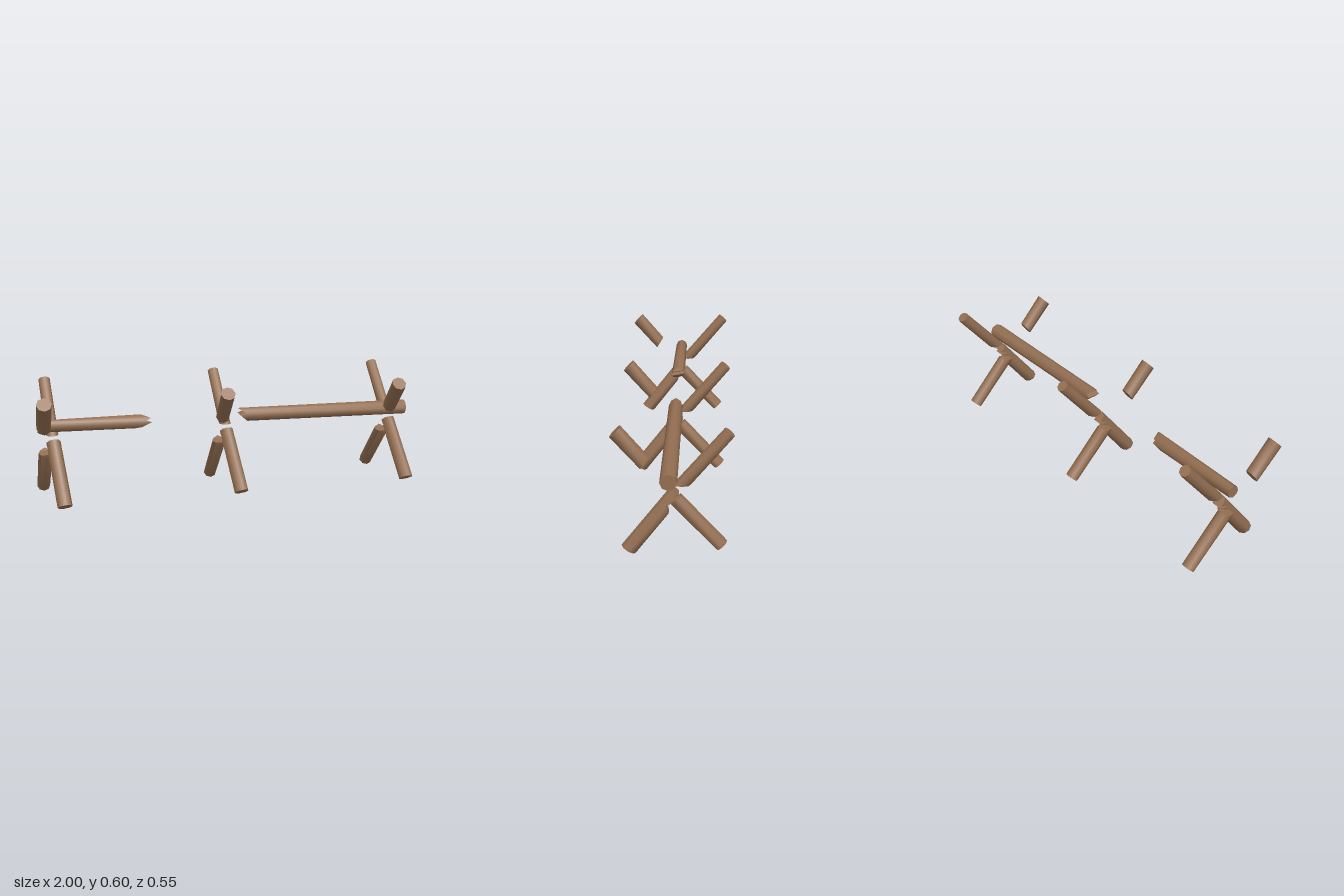
import * as THREE from 'three';
import { toCreasedNormals } from 'three/addons/utils/BufferGeometryUtils.js';

const wood = new THREE.MeshStandardMaterial({ color: 0x946f52 });
wood.name = 'brown wood';

// Octagonal section: half width at height u (both in units of the radius)
const K = Math.SQRT1_2;
const RINGS = [-1, -K, 0, K, 1];
const HALF = [0, K, 1, K, 0];
function halfWidth(u) {
  for (let i = 0; i < 4; i++) {
    if (u <= RINGS[i + 1]) {
      const f = (u - RINGS[i]) / (RINGS[i + 1] - RINGS[i]);
      return HALF[i] + (HALF[i + 1] - HALF[i]) * f;
    }
  }
  return 0;
}

// Keep the part of a polygon on one side of the line u = limit
function clip(poly, limit, sign) {
  const out = [];
  poly.forEach((p, i) => {
    const q = poly[(i + 1) % poly.length];
    const dp = (p.x - limit) * sign, dq = (q.x - limit) * sign;
    if (dp >= 0) out.push(p);
    if (dp * dq < 0) {
      const c = p.clone().lerp(q, dp / (dp - dq));
      c.x = limit;
      out.push(c);
    }
  });
  return out;
}

// A log from a to b. Each end is a broken profile of [u, offset along the axis]
// pairs: the start runs from u = -1 to 1, the finish from u = 1 to -1.
function log(name, a, b, r0, r1, start, finish, ref, slant = 0) {
  const A = new THREE.Vector3(...a);
  const T = new THREE.Vector3(...b).sub(A);
  const len = T.length();
  T.normalize();
  const U = new THREE.Vector3().crossVectors(T, ref).normalize();
  const V = new THREE.Vector3().crossVectors(U, T);
  const outline = [
    ...start.map(([u, t]) => new THREE.Vector2(u, t)),
    ...finish.map(([u, t]) => new THREE.Vector2(u, len + t)),
  ];

  const pos = [];
  const place = (p, side) => {
    const r = r0 + (r1 - r0) * p.y / len;
    const v = halfWidth(p.x) * side * r;
    const t = p.y - (p.y > len / 2 ? slant * (r - v) : 0);
    return A.clone().addScaledVector(T, t).addScaledVector(U, p.x * r).addScaledVector(V, v);
  };
  const tri = (p, q, s) => {
    const area = q.clone().sub(p).cross(s.clone().sub(p)).length();
    if (area > 1e-9) pos.push(...p.toArray(), ...q.toArray(), ...s.toArray());
  };

  // Bark: the outline lifted onto both halves of the octagon, facet by facet
  for (let i = 0; i < 4; i++) {
    const band = clip(clip(outline, RINGS[i], 1), RINGS[i + 1], -1);
    if (band.length < 3) continue;
    for (const face of THREE.ShapeUtils.triangulateShape(band, [])) {
      let [p, q, s] = face.map((k) => band[k]);
      if ((q.x - p.x) * (s.y - p.y) - (q.y - p.y) * (s.x - p.x) < 0) [q, s] = [s, q];
      tri(place(p, 1), place(q, 1), place(s, 1));
      tri(place(p, -1), place(s, -1), place(q, -1));
    }
  }

  // Ends: strips across the log, split where the octagon turns
  outline.forEach((p, i) => {
    const q = outline[(i + 1) % outline.length];
    if (Math.abs(p.x) === 1 && p.x === q.x) return;
    const cuts = RINGS.map((u) => (u - p.x) / (q.x - p.x)).filter((f) => f > 1e-6 && f < 1 - 1e-6);
    const stops = [0, ...cuts.sort((m, n) => m - n), 1].map((f) => p.clone().lerp(q, f));
    for (let k = 0; k + 1 < stops.length; k++) {
      const [c, d] = [stops[k], stops[k + 1]];
      tri(place(c, -1), place(d, -1), place(d, 1));
      tri(place(c, -1), place(d, 1), place(c, 1));
    }
  });

  const geometry = new THREE.BufferGeometry();
  geometry.setAttribute('position', new THREE.Float32BufferAttribute(pos, 3));
  const mesh = new THREE.Mesh(toCreasedNormals(geometry, 0.82), wood);
  mesh.name = name;
  return mesh;
}

const X = new THREE.Vector3(1, 0, 0);
const Z = new THREE.Vector3(0, 0, 1);

// One broken X-shaped support made of four log pieces
function createSupport(x) {
  const support = new THREE.Group();
  support.name = 'crossedSupport';
  support.position.x = x;
  support.add(
    log('upperFrontLog', [-0.055, 0.41, 0.12], [-0.064, 0.553, 0.248], 0.035, 0.037,
      [[-1, -0.009], [1, 0.011]], [[1, 0.003], [-1, -0.003]], X),
    log('upperBackLog', [0.005, 0.335, -0.048], [0, 0.58, -0.2535], 0.031, 0.029,
      [[-1, -0.026], [1, 0.026]], [[1, 0], [-1, 0]], X),
    log('lowerFrontLog', [0.025, 0.027, 0.188], [0.01, 0.264, 0.0035], 0.037, 0.036,
      [[-1, -0.005], [1, 0.005]],
      [[1, -0.06], [0.8, -0.047], [-0.07, -0.024], [0.6, 0.025], [-0.2, 0.008], [0.3, 0.048], [-1, 0.047]], X),
    log('lowerBackLog', [-0.027, 0.023, -0.2275], [-0.035, 0.242, -0.0235], 0.033, 0.035,
      [[-1, 0], [1, 0]],
      [[1, 0.01], [0.58, 0], [0.35, 0.008], [-0.7, 0.032], [-1, 0.012]], X),
  );
  return support;
}

export function createModel() {
  const model = new THREE.Group();
  model.name = 'brokenFence';
  for (const x of [-0.9, 0, 0.92]) model.add(createSupport(x));

  // Snapped rails lying along the supports
  model.add(
    log('shortRail', [-0.97, 0.39, -0.01], [-0.4, 0.385, 0], 0.031, 0.036,
      [[-1, 0], [1, 0]],
      [[1, -0.06], [0, 0], [-0.25, -0.025], [-0.55, 0], [-1, -0.03]], Z, 0.6),
    log('longRail', [0.1, 0.386, 0], [1, 0.374, 0.01], 0.036, 0.039,
      [[-1, -0.04], [-0.4, -0.005], [-0.1, -0.03], [1, 0.015]],
      [[1, 0], [-1, 0]], Z),
  );
  return model;
}
